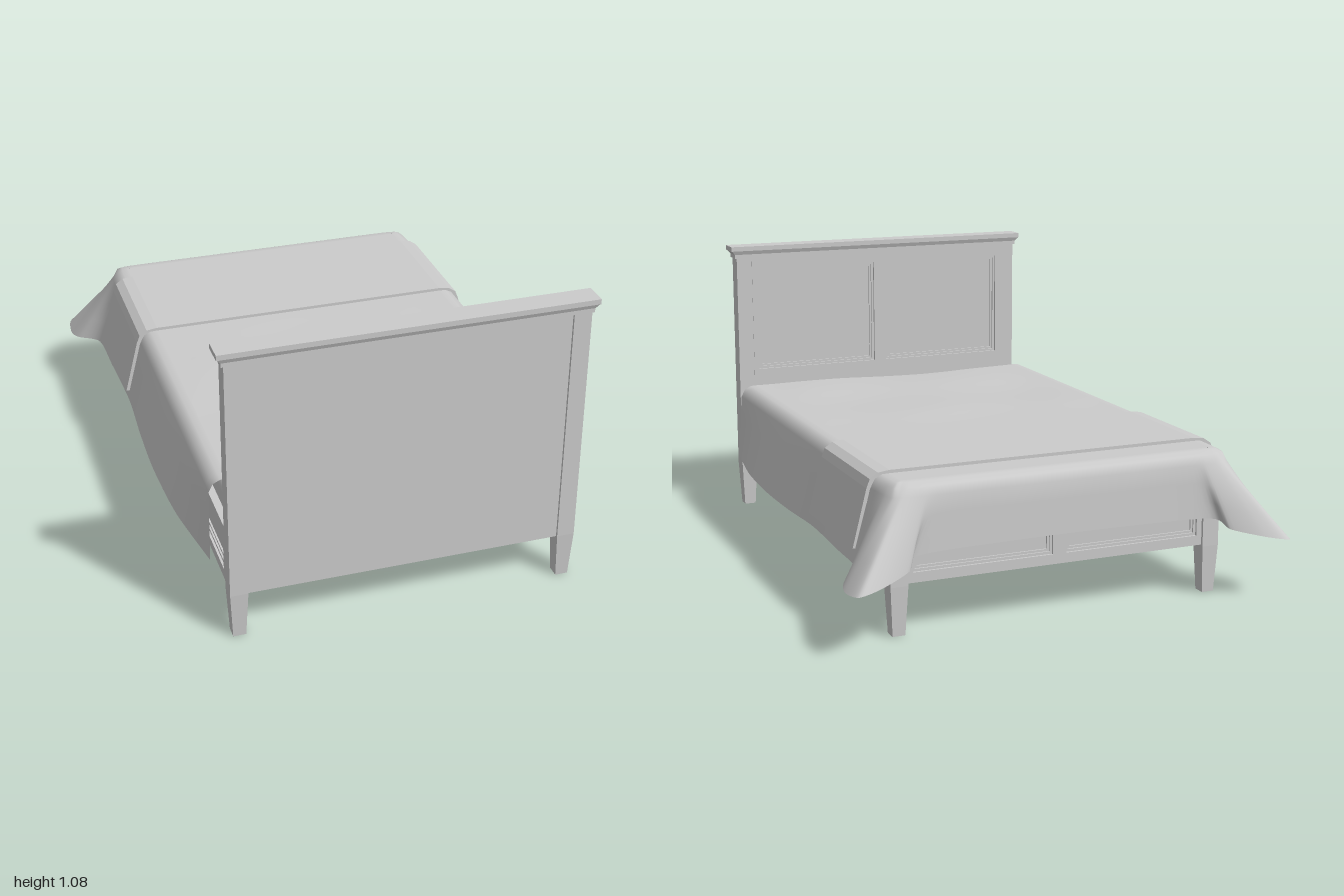
import * as THREE from 'three';

const mat = new THREE.MeshStandardMaterial({ color: 0xcccccc });
const cloth = new THREE.MeshStandardMaterial({ color: 0xcccccc, side: THREE.DoubleSide });

function add(parent, name, geo, material = mat) {
  const m = new THREE.Mesh(geo, material);
  m.name = name;
  parent.add(m);
  return m;
}

// box given by its min and max corners
function box(parent, name, x0, x1, y0, y1, z0, z1) {
  const m = add(parent, name, new THREE.BoxGeometry(x1 - x0, y1 - y0, z1 - z0));
  m.position.set((x0 + x1) / 2, (y0 + y1) / 2, (z0 + z1) / 2);
  return m;
}

// box whose top or bottom is scaled in x and z
function taperedBox(parent, name, w, h, d, cx, y0, cz, sx, sz, atTop) {
  const g = new THREE.BoxGeometry(w, h, d);
  const p = g.attributes.position;
  for (let i = 0; i < p.count; i++) {
    if ((p.getY(i) > 0) === atTop) {
      p.setX(i, p.getX(i) * sx);
      p.setZ(i, p.getZ(i) * sz);
    }
  }
  g.computeVertexNormals();
  add(parent, name, g).position.set(cx, y0 + h / 2, cz);
}

// smooth skin through rings of equally many points
function loft(rings, closed) {
  const n = rings[0].length, idx = [];
  for (let r = 0; r < rings.length - 1; r++) {
    for (let i = 0; i < (closed ? n : n - 1); i++) {
      const j = (i + 1) % n;
      const a = r * n + i, b = r * n + j, c = a + n, d = b + n;
      idx.push(a, c, b, b, c, d);
    }
  }
  const g = new THREE.BufferGeometry().setFromPoints(rings.flat());
  g.setIndex(idx);
  g.computeVertexNormals();
  return g;
}

function rect(C, x0, x1, y0, y1) {
  const s = new C();
  s.moveTo(x0, y0).lineTo(x1, y0).lineTo(x1, y1).lineTo(x0, y1).closePath();
  return s;
}

// board with recessed, moulded panels; front faces +z, front face at z = 0
function panelBoard(name, w, y0, y1, depth, panels) {
  const g = new THREE.Group();
  g.name = name;
  const frame = rect(THREE.Shape, -w / 2, w / 2, y0, y1);
  for (const p of panels) {
    frame.holes.push(rect(THREE.Path, ...p));
    const [a, b, c, d] = p;
    // two steps of moulding round each panel
    [[0, 0.008], [0.008, 0.014]].forEach(([inset, drop]) => {
      const k = inset + 0.009;
      const ring = rect(THREE.Shape, a + inset, b - inset, c + inset, d - inset);
      ring.holes.push(rect(THREE.Path, a + k, b - k, c + k, d - k));
      add(g, 'panelMoulding', new THREE.ExtrudeGeometry(ring, { depth: 0.02 - drop, bevelEnabled: false }))
        .position.z = -0.02;
    });
  }
  add(g, 'boardFrame', new THREE.ExtrudeGeometry(frame, { depth: 0.02, bevelEnabled: false })).position.z = -0.02;
  box(g, 'boardBack', -w / 2, w / 2, y0, y1, -depth, -0.02);
  return g;
}

// blanket edge stations: rim x, z / outward x, z / hem x, y, z
const STATIONS = [
  [0.57, 0.83, 1, 0, 0.645, 0.235, 0.86],
  [0.57, 0.55, 1, 0, 0.69, 0.23, 0.55],
  [0.57, 0.25, 1, 0, 0.705, 0.23, 0.25],
  [0.57, 0, 1, 0, 0.70, 0.23, 0],
  [0.57, -0.25, 1, 0, 0.69, 0.235, -0.25],
  [0.57, -0.55, 1, 0, 0.70, 0.235, -0.55],
  [0.57, -0.72, 1, 0, 0.71, 0.235, -0.75],
  [0.57, -0.78, 0.9, -0.4, 0.78, 0.22, -0.84],
  [0.57, -0.8, 0.7, -0.7, 0.80, 0.21, -0.91],
  [0.56, -0.8, 0.5, -0.85, 0.785, 0.22, -1.0],
  [0.55, -0.8, 0.3, -0.95, 0.70, 0.235, -0.985],
  [0.52, -0.8, 0, -1, 0.59, 0.26, -0.93],
  [0.45, -0.8, 0, -1, 0.54, 0.29, -0.875],
  [0.2, -0.8, 0, -1, 0.2, 0.3, -0.873],
];

function blanket() {
  const g = new THREE.Group();
  g.name = 'blanket';
  const TOP = 0.523;
  const mirrored = STATIONS.map(([a, b, c, d, e, f, h]) => [-a, b, -c, d, -e, f, h]).reverse();
  const all = [...STATIONS, ...mirrored];
  const ring = (fn) => new THREE.CatmullRomCurve3(all.map(fn), false, 'catmullrom', 0.4).getPoints(162);
  const out = (dist, drop) => ([x, z, nx, nz]) => new THREE.Vector3(x + nx * dist, TOP - drop, z + nz * dist);
  const fall = (t) => (s) => out(0.065, 0.042)(s).lerp(new THREE.Vector3(s[4], s[5], s[6]), t);
  const rings = [out(0, 0), out(0.025, 0.001), out(0.05, 0.013), out(0.065, 0.042),
    fall(0.33), fall(0.67), fall(1)].map(ring);
  add(g, 'blanketDrape', loft(rings, false), cloth);

  // gently wrinkled top, flat where it meets the drape
  const top = new THREE.PlaneGeometry(1.14, 1.63, 28, 40).rotateX(-Math.PI / 2).translate(0, 0, 0.015);
  const p = top.attributes.position;
  for (let i = 0; i < p.count; i++) {
    const x = p.getX(i), z = p.getZ(i);
    const win = Math.min(1, 6 * (0.57 - Math.abs(x))) * Math.min(1, Math.max(0, 4 * (z + 0.2)));
    p.setY(i, TOP + 0.004 * win * Math.sin(9 * z + 4 * x) * Math.cos(5 * x - 3 * z));
    if (z > 0.8) p.setZ(i, z - 0.04 * Math.max(0, 1 - Math.abs(x + 0.19) / 0.38));
  }
  top.computeVertexNormals();
  add(g, 'blanketTop', top, cloth);
  return g;
}

// folded throw laid across the foot of the bed
function throwBlanket() {
  const half = [[0.70, 0.283], [0.65, 0.48], [0.638, 0.51], [0.61, 0.529], [0.57, 0.534]];
  const inner = [[0.56, 0.522], [0.60, 0.518], [0.625, 0.502], [0.638, 0.475], [0.688, 0.281]];
  const flip = (a) => a.map(([x, y]) => [-x, y]).reverse();
  const pts = [...half, ...flip(half), ...flip(inner), ...inner];
  const shape = new THREE.Shape(pts.map(([x, y]) => new THREE.Vector2(x, y)));
  return new THREE.ExtrudeGeometry(shape, { depth: 0.46, bevelEnabled: false }).translate(0, 0, -0.70);
}

// mattress shell with rounded corners, open underneath
function mattress() {
  const ring = (inset, y, r = 0.07) => {
    const pts = [], cx = 0.58 - inset - r, hz = 0.84 - inset - r;
    for (let q = 0; q < 4; q++) {
      const sx = q === 0 || q === 3 ? 1 : -1, sz = q < 2 ? 1 : -1;
      for (let k = 0; k <= 6; k++) {
        const a = (q + k / 6) * Math.PI / 2;
        pts.push(new THREE.Vector3(sx * cx + r * Math.cos(a), y, 0.07 + sz * hz + r * Math.sin(a)));
      }
    }
    return pts;
  };
  const centre = ring(0, 0.501).map(() => new THREE.Vector3(0, 0.501, 0.07));
  return loft([centre, ring(0.06, 0.501), ring(0.035, 0.499), ring(0.012, 0.489),
    ring(0, 0.465), ring(0, 0.44), ring(0, 0.31)].reverse().map((r) => r.slice().reverse()), true);
}

export function createModel() {
  const bed = new THREE.Group();
  bed.name = 'bed';

  // headboard: panelled towards the mattress, plain outside
  const head = panelBoard('headboard', 1.1, 0.165, 1.03, 0.055,
    [[-0.53, -0.025, 0.57, 0.985], [0.025, 0.53, 0.57, 0.985]]);
  head.rotation.y = Math.PI;
  head.position.z = 0.926;
  bed.add(head);

  // stepped crown
  box(bed, 'crownBase', -0.62, 0.62, 1.03, 1.047, 0.923, 0.992);
  taperedBox(bed, 'crownCove', 1.24, 0.015, 0.07, 0, 1.045, 0.9575, 1.022, 1.18, true);
  box(bed, 'crownTop', -0.636, 0.636, 1.06, 1.078, 0.915, 1.0);

  for (const s of [1, -1]) {
    // posts and tapered feet
    for (const [name, z, top] of [['headPost', 0.959, 1.03], ['footPost', -0.782, 0.39]]) {
      const post = box(bed, name, 0.55, 0.612, 0.17, top, z - 0.031, z + 0.031);
      post.position.x *= s;
      taperedBox(bed, name + 'Foot', 0.062, 0.17, 0.062, s * 0.581, 0, z, 0.72, 0.72, false);
    }
    // side rail and inner cleat
    const rail = panelBoard('sideRail', 1.68, 0.175, 0.39, 0.028, [[-0.8, 0.8, 0.21, 0.355]]);
    rail.rotation.y = s * Math.PI / 2;
    rail.position.set(s * 0.606, 0, 0.088);
    bed.add(rail);
    const cleat = box(bed, 'railCleat', 0.56, 0.58, 0.23, 0.26, -0.75, 0.92);
    cleat.position.x *= s;
  }

  // footboard
  const foot = panelBoard('footboard', 1.1, 0.175, 0.39, 0.03,
    [[-0.53, -0.025, 0.21, 0.355], [0.025, 0.53, 0.21, 0.355]]);
  foot.rotation.y = Math.PI;
  foot.position.z = -0.803;
  bed.add(foot);

  // bedding
  add(bed, 'mattress', mattress(), cloth);
  bed.add(blanket());
  add(bed, 'throwBlanket', throwBlanket());
  return bed;
}
